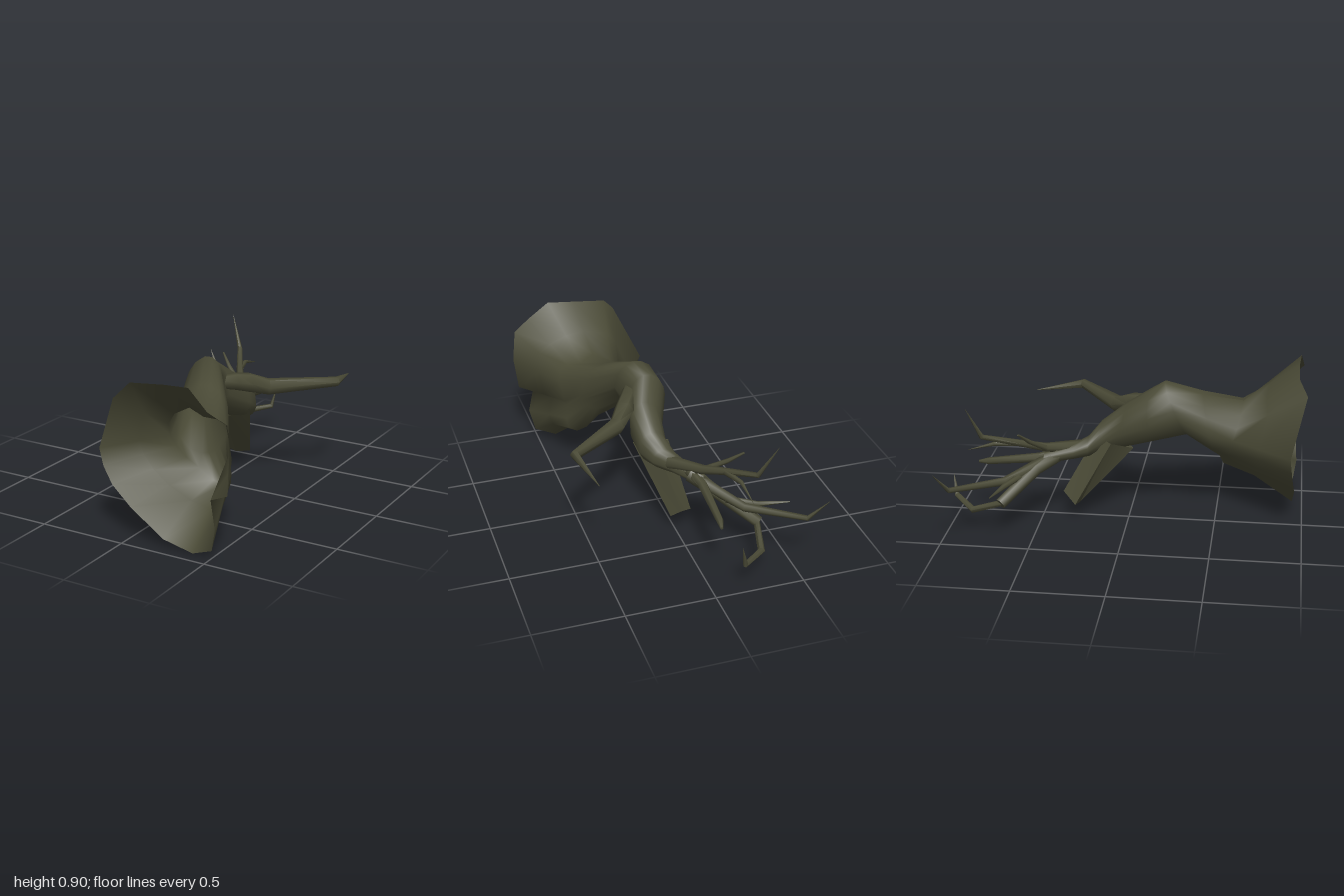
import * as THREE from 'three';
import { toCreasedNormals } from 'three/addons/utils/BufferGeometryUtils.js';

const V = (a) => new THREE.Vector3(...a);

// Skin a list of equal-length rings of points
function loft(rings, crease) {
  const n = rings[0].length, pos = [], idx = [];
  rings.forEach((r) => r.forEach((p) => pos.push(p.x, p.y, p.z)));
  for (let i = 0; i < rings.length - 1; i++) {
    for (let j = 0; j < n; j++) {
      const a = i * n + j, b = i * n + (j + 1) % n;
      idx.push(a, a + n, b, b, a + n, b + n);
    }
  }
  const g = new THREE.BufferGeometry();
  g.setAttribute('position', new THREE.Float32BufferAttribute(pos, 3));
  g.setIndex(idx);
  return toCreasedNormals(g, crease);
}

// Tapered branch along a bent path; each node is [x, y, z, radius]
function branchGeometry(nodes, sides = 6) {
  const pts = nodes.map((n) => V(n.slice(0, 3)));
  const rings = nodes.map((node, i) => {
    const dir = pts[Math.min(i + 1, pts.length - 1)].clone().sub(pts[Math.max(i - 1, 0)]).normalize();
    const side = new THREE.Vector3().crossVectors(dir, V([0, 1, 0])).normalize();
    const up = new THREE.Vector3().crossVectors(side, dir);
    return Array.from({ length: sides }, (_, k) => {
      const t = (k / sides) * Math.PI * 2;
      return pts[i].clone()
        .addScaledVector(side, Math.cos(t) * node[3])
        .addScaledVector(up, Math.sin(t) * node[3]);
    });
  });
  // closing end
  rings.push(rings[0].map(() => pts[pts.length - 1].clone()));
  return loft(rings, 1.1);
}

export function createModel() {
  const group = new THREE.Group();
  const bark = new THREE.MeshStandardMaterial({ color: 0x4a4a36, side: THREE.DoubleSide });
  bark.name = 'bark';
  const add = (name, geometry) => {
    const mesh = new THREE.Mesh(geometry, bark);
    mesh.name = name;
    group.add(mesh);
  };

  // Ragged open rim of the flared base
  const rim = [
    [0.04, 0.87, 0.95], [0.24, 0.89, 0.95], [0.39, 0.9, 0.96], [0.51, 0.8, 0.98], [0.605, 0.74, 0.95],
    [0.625, 0.56, 0.94], [0.6, 0.365, 0.94], [0.51, 0.33, 0.95], [0.54, 0.18, 0.96], [0.51, 0.05, 0.94],
    [0.385, 0, 0.92], [0.22, 0.05, 0.94], [0.03, 0.19, 0.95], [-0.09, 0.29, 0.94], [-0.15, 0.38, 0.93],
    [-0.18, 0.47, 0.92], [-0.03, 0.79, 1.0],
  ].map(V);
  // Throat where the flare meets the trunk
  const throat = [
    [0.1, 0.62], [0.2, 0.675], [0.28, 0.635], [0.36, 0.635], [0.41, 0.61], [0.415, 0.54], [0.4, 0.425],
    [0.385, 0.4], [0.4, 0.32], [0.39, 0.26], [0.34, 0.235], [0.28, 0.25], [0.2, 0.31], [0.13, 0.36],
    [0.08, 0.42], [0.05, 0.48], [0.05, 0.55],
  ].map(([x, y]) => V([x, y, 0.53 + (y - 0.25) * 0.26]));
  const angles = throat.map((p) => Math.atan2(p.y - 0.46, p.x - 0.25));
  // Bulge halfway along the flare
  const flare = rim.map((p, i) => {
    const q = p.clone().lerp(throat[i], 0.55);
    if (i > 8 && i < 12) q.y += 0.03;
    return q;
  });
  // Tilted oval sections of trunk and main limb: centre x y z, half width, half height as y and z
  const ovals = [
    [0.165, 0.55, 0.45, 0.165, 0.18, -0.04],
    [0.06, 0.667, 0.265, 0.115, 0.155, -0.065],
    [0.03, 0.62, 0.11, 0.11, 0.155, 0],
    [0.085, 0.535, -0.05, 0.095, 0.14, 0.03],
    [0.08, 0.465, -0.165, 0.08, 0.095, 0],
    [0.035, 0.42, -0.235, 0.07, 0.06, 0],
    [-0.02, 0.405, -0.31, 0.052, 0.045, 0],
    [-0.11, 0.39, -0.47, 0.032, 0.032, 0],
    [-0.11, 0.39, -0.47, 0, 0, 0],
  ].map(([x, y, z, rx, hy, hz]) => angles.map((a) =>
    V([x + Math.cos(a) * rx, y + Math.sin(a) * hy, z + Math.sin(a) * hz])));
  add('trunk', loft([rim, flare, throat, ...ovals], 1.4));

  // Broken four-sided limb hanging below the trunk: left, front, right and back corners
  const brokenLimb = [
    [[-0.03, 0.46, -0.1], [0.05, 0.41, 0.02], [0.17, 0.46, -0.07], [0.07, 0.47, -0.2]],
    [[-0.1, 0.1, -0.3], [-0.04, 0.095, -0.28], [0.03, 0.095, -0.33], [-0.02, 0.15, -0.38]],
    Array(4).fill([-0.035, 0.11, -0.325]),
  ].map((ring) => ring.map(V).reverse());
  add('brokenLimb', loft(brokenLimb, 0.9));

  // Limbs and twigs
  const branches = {
    sideBranch: [[0.09, 0.68, 0.22, 0.03], [0.15, 0.66, 0.08, 0.05], [0.195, 0.64, 0, 0.056],
      [0.27, 0.6, -0.1, 0.048], [0.575, 0.61, -0.35, 0.028], [0.52, 0.575, -0.63, 0.002]],
    lowerBranch: [[-0.06, 0.4, -0.4, 0.045], [-0.16, 0.34, -0.51, 0.035], [-0.36, 0.2, -0.68, 0.032]],
    lowerTwig: [[-0.35, 0.205, -0.67, 0.018], [-0.31, 0.135, -0.85, 0.02], [-0.17, 0.16, -0.975, 0.016],
      [-0.145, 0.28, -0.995, 0.001]],
    middleBranch: [[-0.07, 0.39, -0.42, 0.035], [-0.28, 0.305, -0.67, 0.024], [-0.535, 0.345, -0.925, 0.015],
      [-0.63, 0.47, -0.985, 0.001]],
    middleTwig: [[-0.2, 0.32, -0.58, 0.02], [-0.36, 0.305, -0.66, 0.015], [-0.53, 0.31, -0.7, 0.003]],
    upperBranch: [[0.02, 0.42, -0.28, 0.04], [-0.11, 0.455, -0.46, 0.026], [-0.19, 0.505, -0.59, 0.02],
      [-0.3, 0.575, -0.785, 0.015], [-0.385, 0.765, -0.85, 0.001]],
    upperTwig: [[-0.19, 0.505, -0.6, 0.018], [-0.23, 0.51, -0.73, 0.012], [-0.24, 0.47, -0.88, 0.001]],
    shortTwig: [[-0.12, 0.455, -0.46, 0.018], [-0.23, 0.53, -0.53, 0.013], [-0.3, 0.595, -0.58, 0.006]],
    straightStub: [[-0.06, 0.41, -0.38, 0.035], [-0.095, 0.385, -0.5, 0.028], [-0.085, 0.345, -0.8, 0.02],
      [-0.075, 0.335, -0.86, 0.008]],
  };
  for (const [name, nodes] of Object.entries(branches)) add(name, branchGeometry(nodes));
  return group;
}
